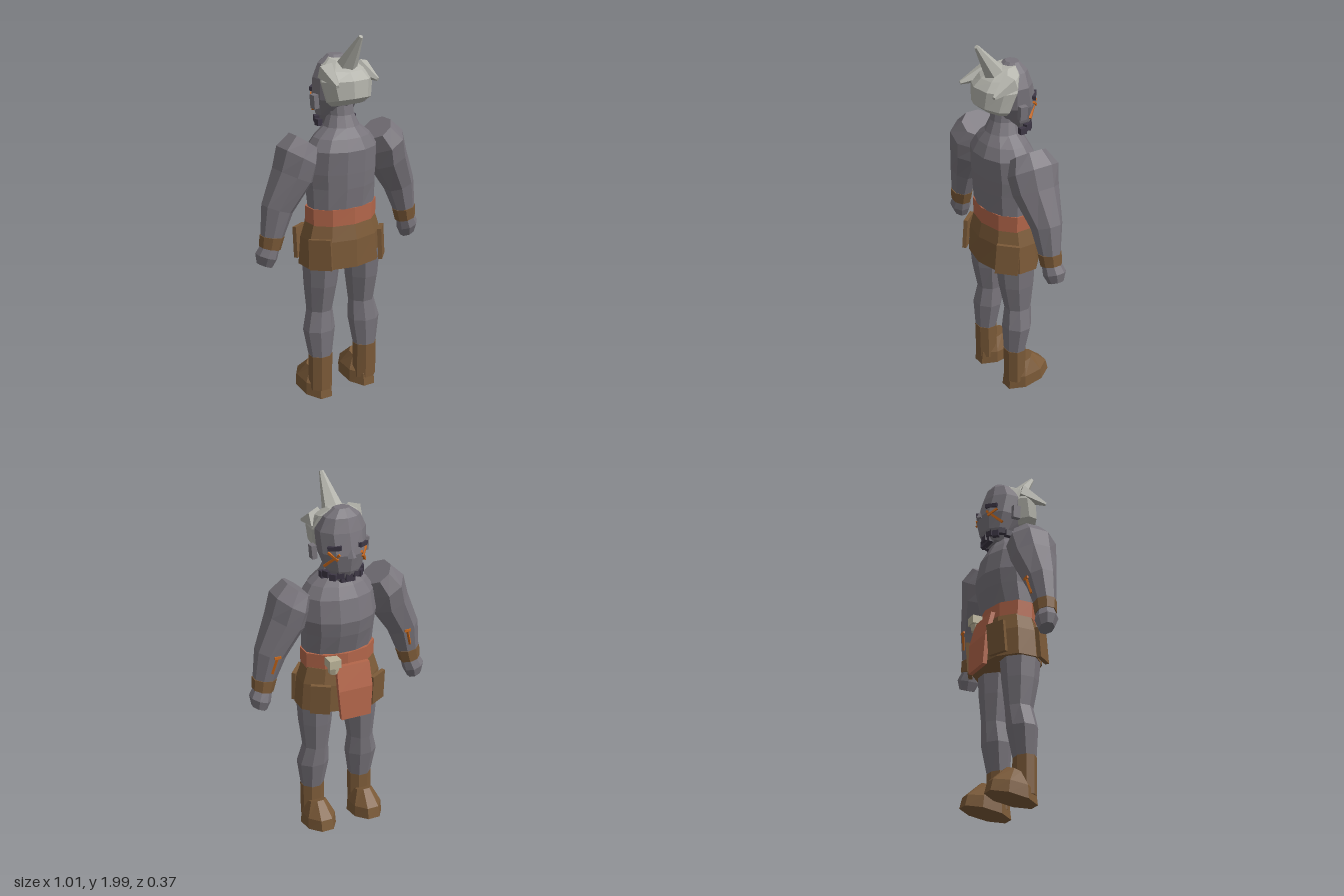
import * as THREE from 'three';

const mat = (name, color) => Object.assign(new THREE.MeshStandardMaterial({ color, flatShading: true }), { name });

export function createModel() {
  const skin = mat('grey skin', 0x78747b);
  const hair = mat('pale hair', 0xb4b4ac);
  const leather = mat('brown leather', 0x7b5a38);
  const cloth = mat('rust cloth', 0xb3664a);
  const paint = mat('orange paint', 0xc8681c);
  const dark = mat('dark hair', 0x3d3745);
  const bone = mat('bone', 0xb9b197);
  const model = new THREE.Group();
  model.name = 'warrior';

  const add = (parent, name, geo, material) => {
    const mesh = new THREE.Mesh(geo, material);
    mesh.name = name;
    parent.add(mesh);
    return mesh;
  };

  // Closed loft, listed bottom to top: [x, y, z, halfWidth, halfDepth, roll, slope along z]
  const loft = (sections, n) => {
    const pos = [], index = [], k = 1 / Math.cos(Math.PI / n);
    sections.forEach(([x, y, z, w, d, roll = 0, slope = 0]) => {
      for (let j = 0; j < n; j++) {
        const a = ((j + 0.5) / n) * Math.PI * 2;
        const u = Math.cos(a) * w * k, v = Math.sin(a) * d * k;
        pos.push(x + u * Math.cos(roll), y + u * Math.sin(roll) + v * slope, z + v);
      }
    });
    const last = (sections.length - 1) * n;
    for (let i = 0; i < last; i += n) {
      for (let j = 0; j < n; j++) {
        const a = i + j, b = i + ((j + 1) % n);
        index.push(a, a + n, b, b, a + n, b + n);
      }
    }
    for (let j = 1; j < n - 1; j++) index.push(0, j, j + 1, last, last + j + 1, last + j);
    const g = new THREE.BufferGeometry();
    g.setAttribute('position', new THREE.Float32BufferAttribute(pos, 3));
    g.setIndex(index);
    const flat = g.toNonIndexed();
    flat.computeVertexNormals();
    return flat;
  };

  const box = (parent, name, size, at, material, rot = [0, 0, 0]) => {
    const m = add(parent, name, new THREE.BoxGeometry(...size), material);
    m.position.set(...at);
    m.rotation.set(...rot);
    return m;
  };

  // Tapered solid running between two points
  const spike = (parent, name, from, to, r0, r1, sides, material) => {
    const a = new THREE.Vector3(...from), b = new THREE.Vector3(...to), d = b.clone().sub(a);
    const m = add(parent, name, new THREE.CylinderGeometry(r1, r0, d.length(), sides), material);
    m.position.copy(a).add(b).multiplyScalar(0.5);
    m.quaternion.setFromUnitVectors(new THREE.Vector3(0, 1, 0), d.normalize());
    return m;
  };

  // Torso and neck
  add(model, 'torso', loft([
    [0, 1.09, 0.01, 0.19, 0.122], [0, 1.2, 0, 0.193, 0.145], [0, 1.28, -0.005, 0.202, 0.155],
    [0, 1.4, 0.01, 0.195, 0.145], [0, 1.46, 0.012, 0.155, 0.115], [0, 1.51, 0.01, 0.095, 0.085],
    [0, 1.57, 0, 0.07, 0.07], [0, 1.66, -0.01, 0.065, 0.065]], 12), skin);

  // Belt, skirt and its hanging pieces
  add(model, 'belt', loft([[0, 1, 0.005, 0.195, 0.128], [0, 1.09, 0.005, 0.197, 0.128]], 10), cloth);
  add(model, 'skirt', loft([[0, 0.77, 0, 0.232, 0.155], [0, 0.92, 0, 0.22, 0.15], [0, 1.01, 0, 0.193, 0.13]], 10), leather);
  const flap = loft([[-0.02, 0.735, -0.18, 0.085, 0.012], [-0.02, 0.9, -0.172, 0.098, 0.012],
    [-0.02, 1.03, -0.138, 0.095, 0.012]], 4);
  add(model, 'loincloth', flap, cloth);
  spike(model, 'beltTrophy', [0.09, 1.0, -0.14], [0.09, 1.035, -0.14], 0.026, 0.032, 6, bone);
  box(model, 'trophyTop', [0.065, 0.045, 0.07], [0.09, 1.06, -0.137], bone);

  // Head
  add(model, 'head', loft([
    [0, 1.5, -0.075, 0.055, 0.05], [0, 1.56, -0.065, 0.092, 0.085], [0, 1.65, -0.045, 0.12, 0.122],
    [0, 1.76, -0.03, 0.127, 0.108], [0, 1.83, -0.04, 0.095, 0.075], [0, 1.87, -0.05, 0.04, 0.032]], 10), skin);
  spike(model, 'nose', [0, 1.69, -0.145], [0, 1.635, -0.165], 0.014, 0.025, 5, skin);

  // Hair cap, swept up into a top spike with two side tufts
  add(model, 'hairCap', loft([
    [0, 1.625, 0.06, 0.085, 0.06, 0, 0.25], [0, 1.655, 0.075, 0.118, 0.088, 0, 0.25],
    [0, 1.755, 0.05, 0.138, 0.108, 0, 0.1], [0, 1.82, 0.02, 0.11, 0.098, 0, -0.15],
    [0, 1.858, -0.01, 0.055, 0.058, 0, -0.15]], 9), hair);
  spike(model, 'topSpike', [0, 1.8, 0.04], [0.012, 1.99, 0.167], 0.062, 0.012, 6, hair);

  // Beard studs along the jaw
  for (let i = 0; i < 9; i++) {
    const a = (i / 8 - 0.5) * Math.PI;
    box(model, 'beardTuft', [0.036, 0.034, 0.026],
      [Math.sin(a) * 0.105, 1.525 + (i % 2) * 0.012, -0.045 - Math.cos(a) * 0.085], dark, [0, -a, 0]);
  }
  box(model, 'chinBeard', [0.08, 0.04, 0.03], [0, 1.515, -0.115], dark);

  for (const s of [1, -1]) {
    // Face details
    box(model, 'ear', [0.028, 0.072, 0.042], [s * 0.145, 1.645, -0.018], skin, [0, 0, -s * 0.08]);
    box(model, 'brow', [0.07, 0.022, 0.02], [s * 0.078, 1.69, -0.133], dark, [0, -s * 0.65, -s * 0.12]);
    spike(model, 'cheekPaint', [s * 0.113, 1.585, -0.085], [s * 0.06, 1.66, -0.155], 0.009, 0.009, 4, paint);
    spike(model, 'cheekPaint', [s * 0.105, 1.665, -0.112], [s * 0.068, 1.63, -0.152], 0.008, 0.008, 4, paint);
    spike(model, 'sideTuft', [s * 0.1, 1.8, 0.03], [s * 0.132, 1.755, s > 0 ? 0.145 : 0.175], 0.055, 0.01, 5, hair);

    // Arm with wrist band and hand
    const arm = (list) => loft(list.map(([x, y, z, w, d, r]) => [x * s, y, z, w, d, r * s]), 8);
    add(model, 'arm', arm([
      [0.42, 0.975, 0, 0.058, 0.052, 0.15], [0.385, 1.12, -0.003, 0.08, 0.075, 0.35],
      [0.298, 1.285, 0.005, 0.1, 0.115, 0.45], [0.272, 1.385, 0.005, 0.1, 0.13, 0.55],
      [0.228, 1.455, 0.005, 0.077, 0.09, 0.62]]), skin);
    add(model, 'wristBand', arm([[0.433, 0.915, -0.003, 0.054, 0.052, 0.25],
      [0.42, 0.98, 0, 0.062, 0.056, 0.15]]), leather);
    add(model, 'hand', arm([[0.46, 0.82, -0.015, 0.04, 0.038, 0.4], [0.452, 0.87, -0.01, 0.055, 0.056, 0.35],
      [0.433, 0.92, -0.003, 0.048, 0.046, 0.25]]), skin);
    spike(model, 'armPaint', [s * 0.4, 1.03, -0.066], [s * 0.375, 1.12, -0.08], 0.008, 0.008, 4, paint);
    box(model, 'armPaintTip', [0.035, 0.014, 0.014], [s * 0.375, 1.122, -0.08], paint);

    // Leg and boot
    add(model, 'leg', loft([
      [s * 0.145, 0.23, 0.025, 0.058, 0.053], [s * 0.145, 0.4, 0.012, 0.083, 0.073],
      [s * 0.135, 0.51, 0, 0.065, 0.068], [s * 0.132, 0.66, 0.008, 0.083, 0.09],
      [s * 0.128, 0.82, 0.012, 0.095, 0.103]], 8), skin);
    add(model, 'bootShaft', loft([[s * 0.145, 0.05, 0.022, 0.062, 0.055], [s * 0.145, 0.25, 0.025, 0.062, 0.056]], 8), leather);
    add(model, 'bootFoot', loft([
      [s * 0.142, 0.024, -0.05, 0.083, 0.13, 0, -0.16], [s * 0.142, 0.09, -0.047, 0.08, 0.118, 0, -0.12],
      [s * 0.142, 0.165, -0.035, 0.045, 0.045, 0, -0.35]], 8), leather);

    // Skirt panels at front thigh and rear hip
    box(model, 'thighPanel', [0.105, 0.17, 0.022], [s * 0.165, 0.86, -0.142], leather, [-0.08, -s * 0.5, 0]);
    box(model, 'hipPanel', [0.12, 0.165, 0.022], [s * 0.192, 0.857, 0.105], leather, [-0.08, s * 0.85, 0]);
  }
  return model;
}
